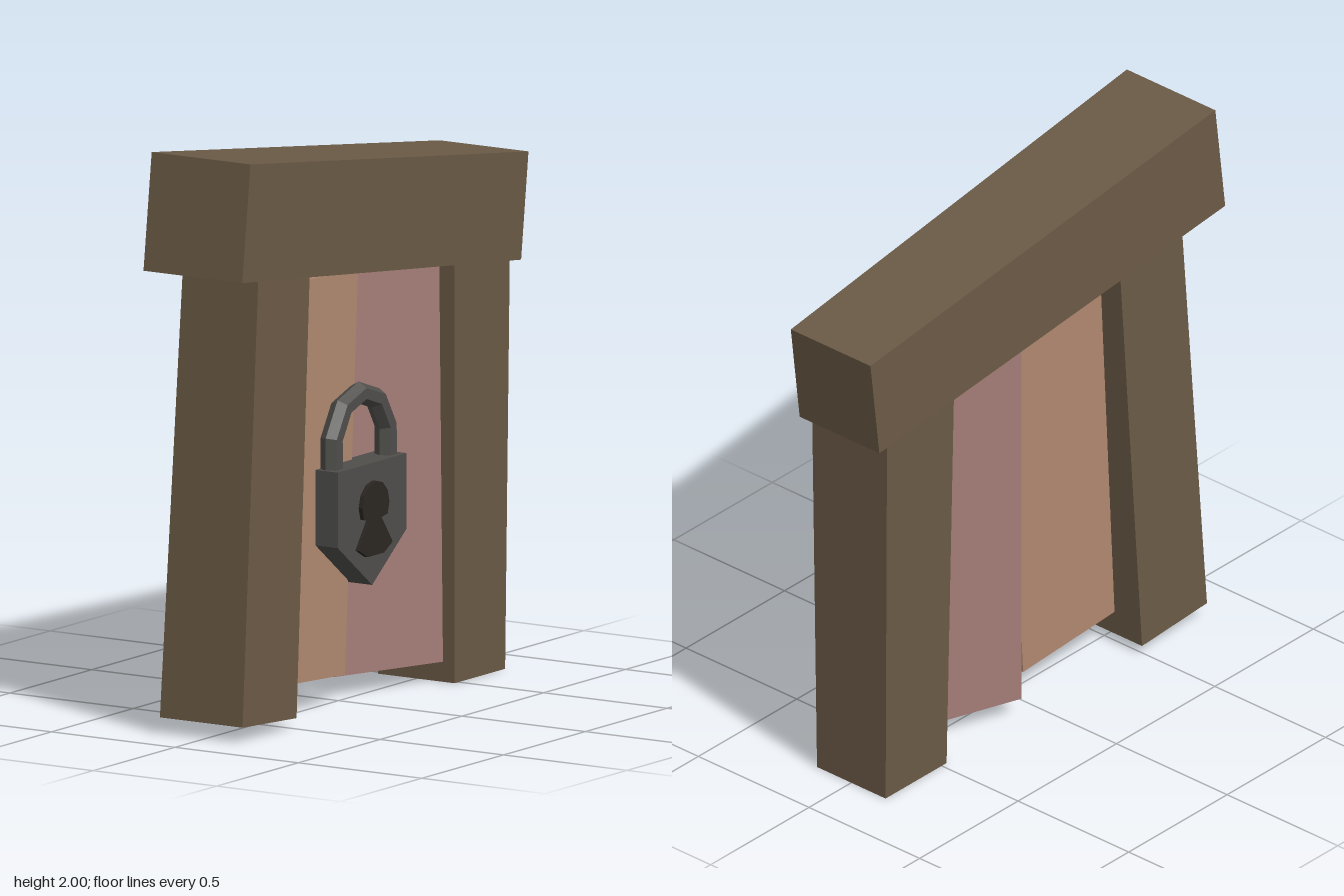
import * as THREE from 'three';

const mat = (color) => new THREE.MeshStandardMaterial({ color, flatShading: true });

// Closed solid through a list of rings, each counter-clockwise seen from the next ring
function loft(rings) {
  const n = rings[0].length, last = (rings.length - 1) * n, index = [];
  for (let k = 0; k < last; k += n) {
    for (let i = 0; i < n; i++) {
      const j = (i + 1) % n;
      index.push(k + i, k + j, k + n + j, k + i, k + n + j, k + n + i);
    }
  }
  for (let i = 1; i < n - 1; i++) {
    index.push(0, i + 1, i, last, last + i, last + i + 1);
  }
  const g = new THREE.BufferGeometry();
  g.setAttribute('position', new THREE.Float32BufferAttribute(rings.flat(2), 3));
  g.setIndex(index);
  const flat = g.toNonIndexed();
  flat.computeVertexNormals();
  return flat;
}

// Four corners from a front and a back edge, each given as [xMin, xMax, y, z]
const quad = (f, b) => [
  [f[1], f[2], f[3]], [b[1], b[2], b[3]], [b[0], b[2], b[3]], [f[0], f[2], f[3]],
];

function add(parent, name, geometry, material) {
  const mesh = new THREE.Mesh(geometry, material);
  mesh.name = name;
  parent.add(mesh);
  return mesh;
}

function extrude(points, depth) {
  const shape = new THREE.Shape(points.map(([x, y]) => new THREE.Vector2(x, y)));
  return new THREE.ExtrudeGeometry(shape, { depth, bevelEnabled: false });
}

function createPadlock() {
  const lock = new THREE.Group();
  lock.name = 'padlock';
  const metal = mat(0x4f4e4b);

  // Shield-shaped body
  add(lock, 'lockBody', extrude(
    [[-0.2, 0.83], [-0.2, 0.57], [0.01, 0.41], [0.22, 0.57], [0.22, 0.83]], 0.11), metal);

  // Keyhole: round head over a flared foot
  const hole = [];
  for (let i = 0; i <= 8; i++) {
    const a = THREE.MathUtils.degToRad(-30 + i * 30);
    hole.push([0.01 + 0.083 * Math.cos(a), 0.687 + 0.083 * Math.sin(a)]);
  }
  hole.push([-0.025, 0.64], [-0.093, 0.545], [-0.04, 0.515], [0.06, 0.515], [0.113, 0.545], [0.045, 0.64]);
  const keyhole = add(lock, 'keyhole', extrude(hole, 0.02), mat(0x2b2622));
  keyhole.position.z = 0.105;

  // Six-sided shackle swept over an arch
  const path = [[-0.155, 0.8], [-0.155, 0.93], [-0.095, 1.03], [0.01, 1.066],
    [0.115, 1.03], [0.175, 0.93], [0.175, 0.8]].map(([x, y]) => new THREE.Vector2(x, y));
  const rings = path.map((p, i) => {
    const t = new THREE.Vector2();
    if (i > 0) t.add(p.clone().sub(path[i - 1]).normalize());
    if (i < path.length - 1) t.add(path[i + 1].clone().sub(p).normalize());
    t.normalize();
    return Array.from({ length: 6 }, (_, k) => {
      const c = 0.038 * Math.cos(k * Math.PI / 3), s = 0.038 * Math.sin(k * Math.PI / 3);
      return [p.x - t.y * c, p.y + t.x * c, 0.055 + s];
    });
  });
  add(lock, 'shackle', loft(rings), metal);

  // Turn the lock to face +x
  lock.rotation.y = Math.PI / 2;
  lock.position.x = 0.02;
  return lock;
}

export function createModel() {
  const model = new THREE.Group();
  model.name = 'lockedGate';
  const wood = mat(0x6b5a46);

  // Crooked frame of tapered beams
  add(model, 'lintel', loft([
    quad([-0.2, 0.2, 1.6, 0.89], [-0.18, 0.18, 1.4, -0.845]),
    quad([-0.2, 0.2, 2, 0.84], [-0.18, 0.18, 1.765, -0.89]),
  ]), wood);
  add(model, 'frontPost', loft([
    quad([-0.18, 0.155, 0.055, 0.82], [-0.18, 0.155, 0.035, 0.49]),
    quad([-0.15, 0.155, 1.62, 0.722], [-0.15, 0.155, 1.6, 0.407]),
  ]), wood);
  add(model, 'rearPost', loft([
    quad([-0.155, 0.155, 0, -0.475], [-0.155, 0.155, 0, -0.785]),
    quad([-0.175, 0.165, 1.5, -0.459], [-0.175, 0.165, 1.5, -0.8]),
  ]), wood);

  // Front door leans, rear door hangs ajar
  const frontDoor = add(model, 'frontDoor', new THREE.BoxGeometry(0.1, 1.38, 0.5), mat(0xb08870));
  frontDoor.position.set(-0.01, 0.8, 0.23);
  frontDoor.rotation.x = -0.058;
  const rearDoor = add(model, 'rearDoor', new THREE.BoxGeometry(0.105, 1.375, 0.5), mat(0xa47c76));
  rearDoor.position.set(-0.009, 0.757, -0.298);
  rearDoor.rotation.y = -0.34;

  model.add(createPadlock());
  return model;
}
